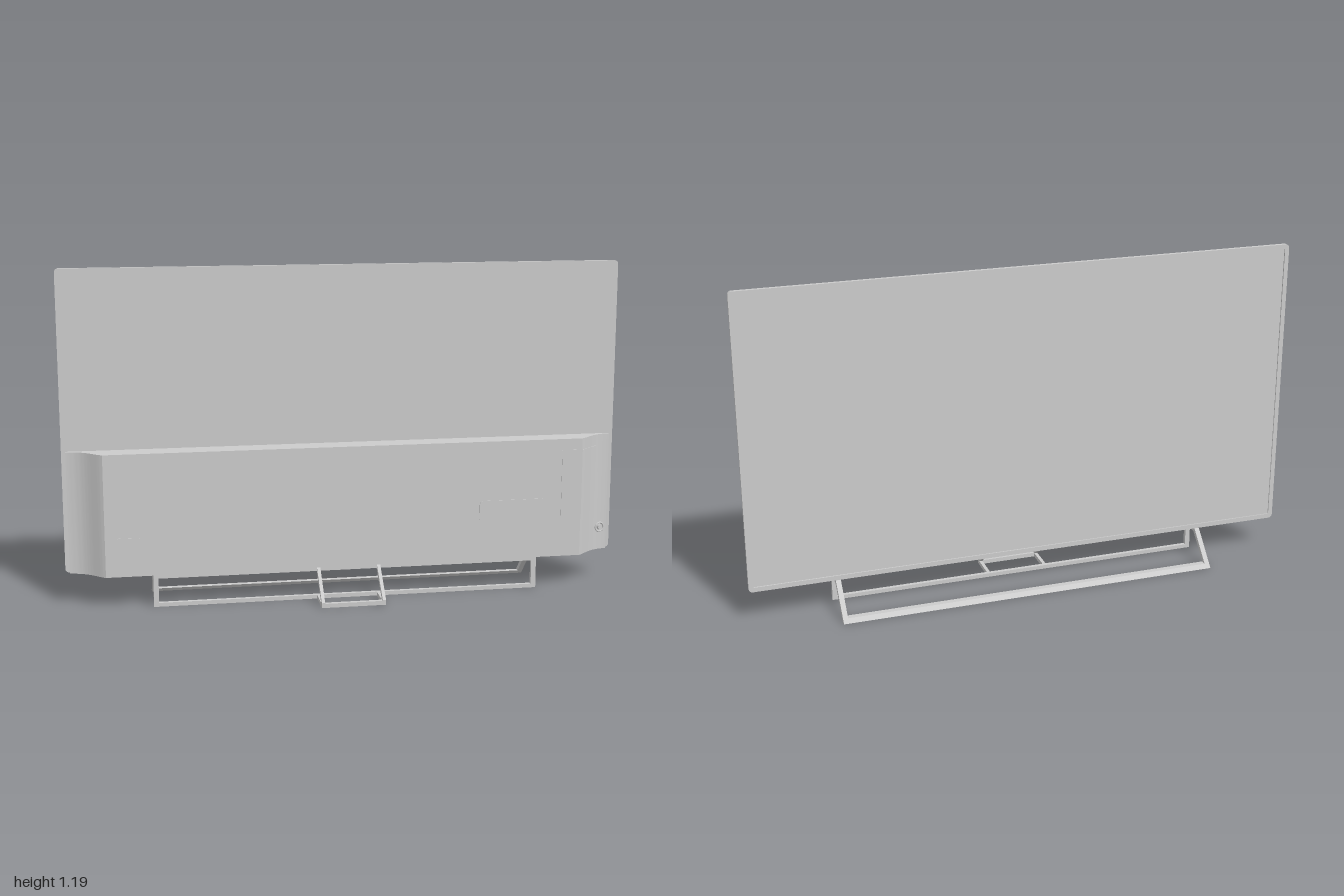
import * as THREE from 'three';
import { toCreasedNormals } from 'three/addons/utils/BufferGeometryUtils.js';

const material = new THREE.MeshStandardMaterial({ color: 0xcccccc });

function addMesh(parent, name, geometry) {
  const mesh = new THREE.Mesh(geometry, material);
  mesh.name = name;
  parent.add(mesh);
  return mesh;
}

function extrude(shape, depth) {
  return new THREE.ExtrudeGeometry(shape, { depth, bevelEnabled: false, curveSegments: 24 });
}

// Rounded rectangle spanning x0..x1 and y0..y1
function roundedRect(x0, y0, x1, y1, r, Type = THREE.Shape) {
  const s = new Type();
  s.absarc(x1 - r, y0 + r, r, -Math.PI / 2, 0);
  s.absarc(x1 - r, y1 - r, r, 0, Math.PI / 2);
  s.absarc(x0 + r, y1 - r, r, Math.PI / 2, Math.PI);
  s.absarc(x0 + r, y0 + r, r, Math.PI, Math.PI * 1.5);
  s.closePath();
  return s;
}

// Plate from z0 to z1
function plate(shape, z0, z1) {
  return toCreasedNormals(extrude(shape, z1 - z0).translate(0, 0, z0), 0.6);
}

// Plan outline in [x, z], raised from y0 to y1
function planSolid(points, y0, y1) {
  const shape = new THREE.Shape(points.map(([x, z]) => new THREE.Vector2(x, -z)));
  return toCreasedNormals(extrude(shape, y1 - y0).rotateX(-Math.PI / 2).translate(0, y0, 0), 0.45);
}

// Side outline in [z, y], given a width across x
function sideSolid(points, x, width) {
  const shape = new THREE.Shape(points.map(([z, y]) => new THREE.Vector2(-z, y)));
  return extrude(shape, width).rotateY(Math.PI / 2).translate(x - width / 2, 0, 0);
}

function box(x0, x1, y0, y1, z0, z1) {
  return new THREE.BoxGeometry(x1 - x0, y1 - y0, z1 - z0)
    .translate((x0 + x1) / 2, (y0 + y1) / 2, (z0 + z1) / 2);
}

export function createModel() {
  const model = new THREE.Group();
  model.name = 'television';

  // Thin panel, with the screen set inside a narrow bezel
  const panel = new THREE.Group();
  panel.name = 'displayPanel';
  model.add(panel);
  const bezel = roundedRect(-1, 0.117, 1, 1.188, 0.014);
  bezel.holes.push(roundedRect(-0.984, 0.134, 0.984, 1.172, 0.004, THREE.Path));
  addMesh(panel, 'bezel', plate(bezel, -0.048, -0.043));
  addMesh(panel, 'screenPlate', plate(roundedRect(-1, 0.117, 1, 1.188, 0.014), -0.043, -0.034));

  // Electronics housing with S-curved ends
  const curve = new THREE.CubicBezierCurve(
    new THREE.Vector2(0.985, -0.026), new THREE.Vector2(0.915, -0.02),
    new THREE.Vector2(0.895, 0.025), new THREE.Vector2(0.86, 0.047));
  const edge = curve.getPoints(24).map(p => [p.x, p.y]);
  const mirrored = edge.map(([x, z]) => [-x, z]).reverse();
  const housing = new THREE.Group();
  housing.name = 'rearHousing';
  model.add(housing);
  addMesh(housing, 'housingShell',
    planSolid([[0.985, -0.035], ...edge, ...mirrored, [-0.985, -0.035]], 0.115, 0.553));

  // Connector cover following the curved end
  const skin = edge.filter(([x]) => x < 0.93).map(([x, z]) => [x + 0.001, z + 0.002]);
  addMesh(housing, 'connectorCover',
    planSolid([[0.93, -0.025], ...skin, [0.785, 0.049], [0.785, -0.025]], 0.252, 0.512));

  // Access plates
  addMesh(housing, 'socketPlate', plate(roundedRect(-0.825, 0.165, -0.733, 0.255, 0.015), 0.04, 0.049));
  addMesh(housing, 'portPlate', plate(roundedRect(0.48, 0.255, 0.725, 0.335, 0.015), 0.04, 0.049));

  // Round control button with its ring
  const button = new THREE.Group();
  button.name = 'controlButton';
  button.position.set(0.957, 0.2, -0.017);
  button.rotation.y = 0.28;
  housing.add(button);
  addMesh(button, 'buttonRing', new THREE.TorusGeometry(0.017, 0.003, 8, 32));
  addMesh(button, 'buttonCap', new THREE.CylinderGeometry(0.009, 0.009, 0.012, 24).rotateX(Math.PI / 2));

  // Stand: bent side bars joined by long rails
  const stand = new THREE.Group();
  stand.name = 'stand';
  model.add(stand);
  const sideBar = [[0.047, 0], [0.047, 0.115], [-0.045, 0.115], [-0.159, 0],
    [-0.138, 0], [-0.036, 0.101], [0.033, 0.101], [0.033, 0]];
  const prong = [[0.047, 0.115], [0.159, 0.018], [0.159, 0], [0.033, 0],
    [0.033, 0.014], [0.141, 0.014], [0.04, 0.101]];
  for (const side of [1, -1]) {
    const label = side > 0 ? 'left' : 'right';
    addMesh(stand, label + 'SideBar', sideSolid(sideBar, side * 0.687, 0.018));
    addMesh(stand, label + 'Prong', sideSolid(prong, side * 0.109, 0.012));
  }
  addMesh(stand, 'lowerRail', box(-0.68, 0.68, 0, 0.014, 0.033, 0.047));
  addMesh(stand, 'upperRail', box(-0.68, 0.68, 0.103, 0.115, 0.033, 0.047));
  addMesh(stand, 'screenSideRail',
    sideSolid([[-0.159, 0], [-0.138, 0], [-0.124, 0.014], [-0.145, 0.014]], 0, 1.36));
  addMesh(stand, 'prongRail', box(-0.103, 0.103, 0, 0.015, 0.144, 0.159));

  return model;
}
